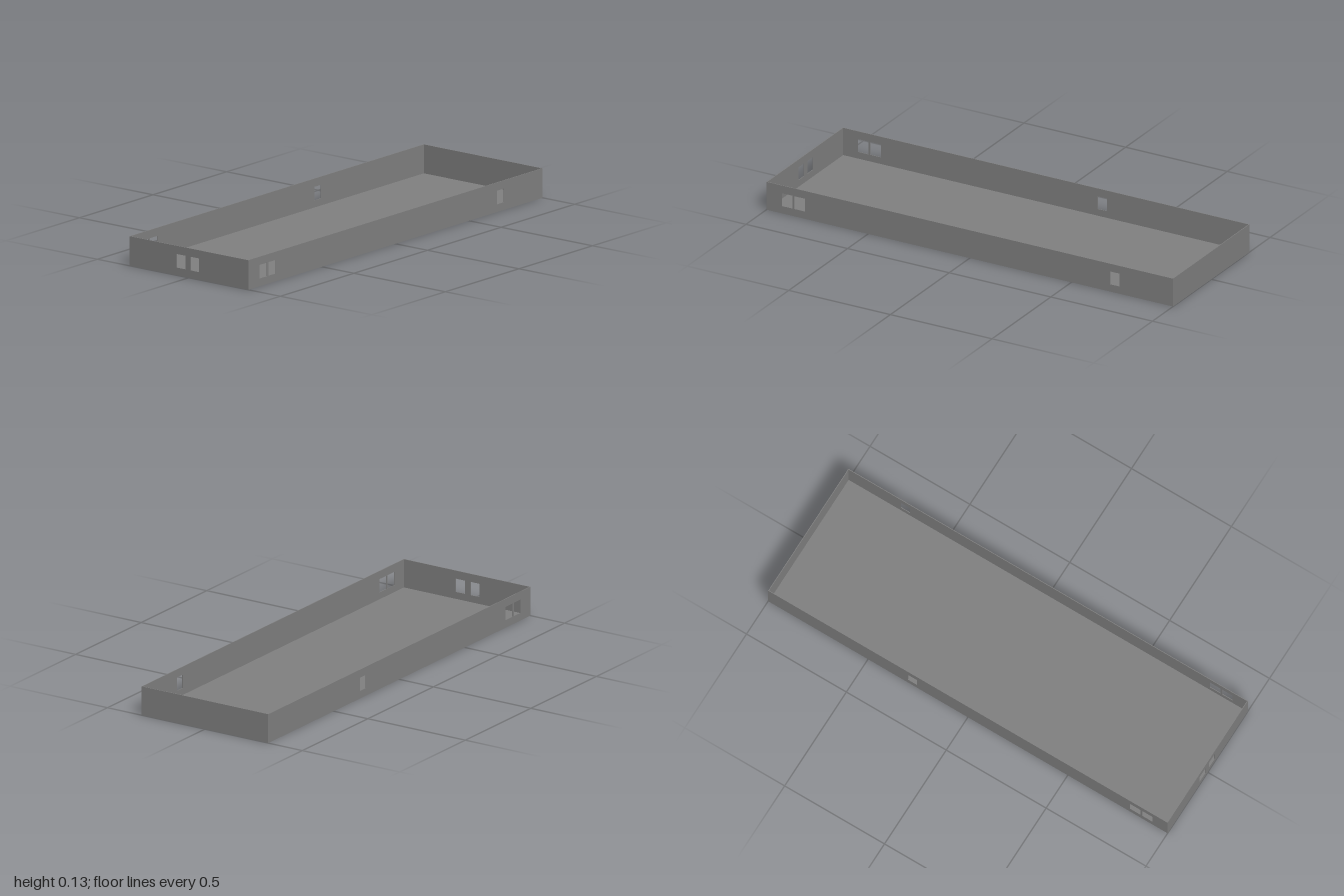
import * as THREE from 'three';

const W = 2, D = 0.65, H = 0.13, T = 0.003; // overall size and sheet thickness
const SILL = 0.034, HEAD = 0.094;           // window heights

export function createModel() {
  const model = new THREE.Group();
  model.name = 'openRoomShell';
  const grey = new THREE.MeshStandardMaterial({ color: 0x808080 });
  grey.name = 'plain grey';

  // Thin wall from a to b along its length, with window openings cut out
  function wall(name, a, b, openings) {
    const shape = new THREE.Shape([[a, 0], [b, 0], [b, H], [a, H]].map(p => new THREE.Vector2(...p)));
    for (const [l, r] of openings) {
      shape.holes.push(new THREE.Path(
        [[l, SILL], [l, HEAD], [r, HEAD], [r, SILL]].map(p => new THREE.Vector2(...p))));
    }
    const geometry = new THREE.ExtrudeGeometry(shape, { depth: T, bevelEnabled: false });
    const mesh = new THREE.Mesh(geometry, grey);
    mesh.name = name;
    model.add(mesh);
    return mesh;
  }

  // Floor slab
  const floor = new THREE.Mesh(new THREE.BoxGeometry(W, T, D), grey);
  floor.name = 'floor';
  floor.position.y = T / 2;
  model.add(floor);

  // Long walls: a pair of windows near one end and a single one further along
  const pair = [[-0.925, -0.873], [-0.864, -0.811]];
  wall('frontWall', -W / 2, W / 2, [...pair, [0.69, 0.736]]).position.z = D / 2 - T;
  wall('backWall', -W / 2, W / 2, [...pair, [0.254, 0.3]]).position.z = -D / 2;

  // End walls: one with two windows, one solid
  const windowed = wall('windowedEndWall', -D / 2, D / 2, [[-0.057, -0.01], [0.019, 0.066]]);
  const solid = wall('solidEndWall', -D / 2, D / 2, []);
  windowed.rotation.y = solid.rotation.y = Math.PI / 2;
  windowed.position.x = -W / 2;
  solid.position.x = W / 2 - T;

  return model;
}
